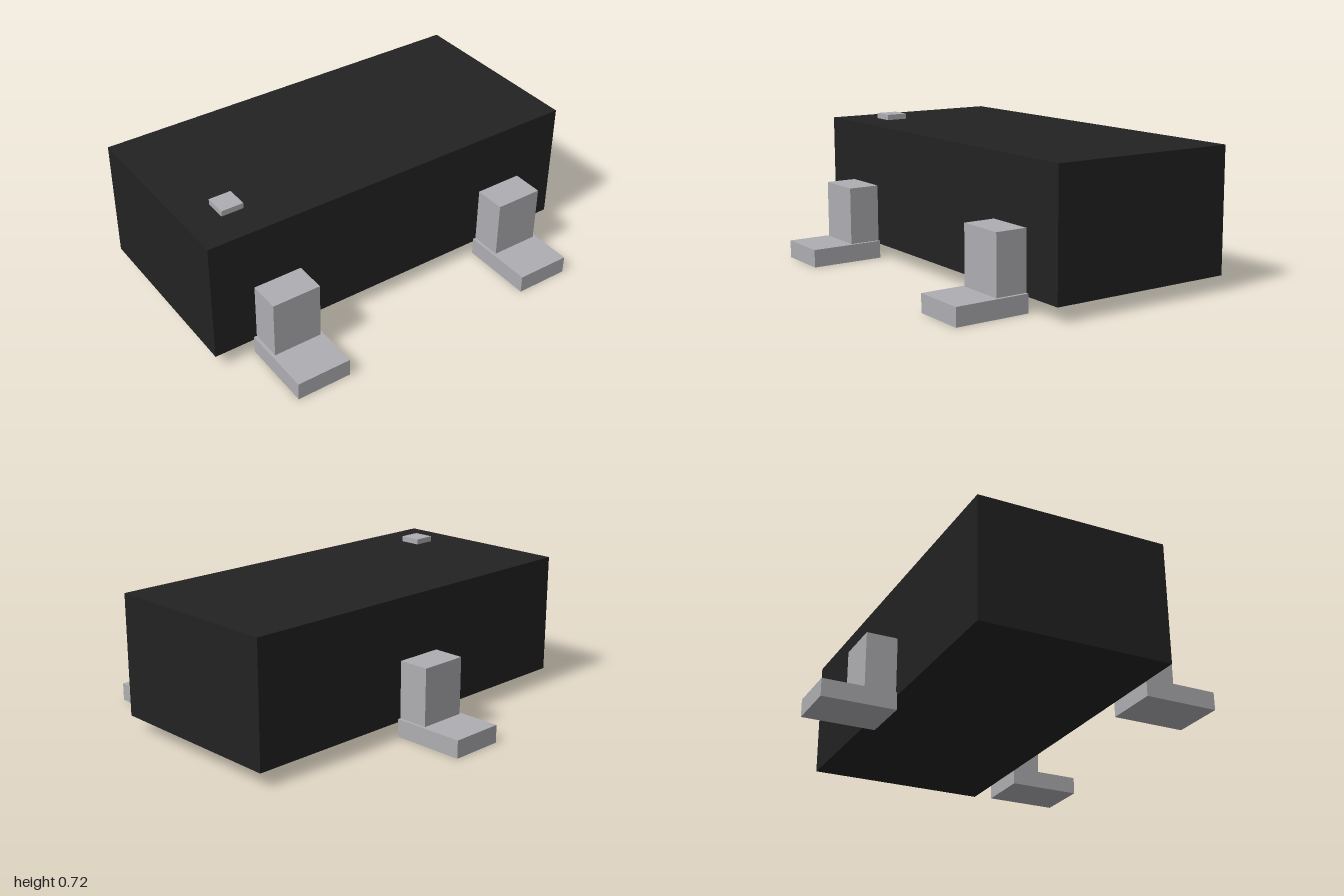
import * as THREE from 'three';

export function createModel() {
  const model = new THREE.Group();
  const black = new THREE.MeshStandardMaterial({ color: 0x222222 });
  black.name = 'black';
  const grey = new THREE.MeshStandardMaterial({ color: 0xaeaeb2 });
  grey.name = 'light grey';

  // Box spanning the given limits on each axis
  function addBox(parent, name, material, [x0, x1], [y0, y1], [z0, z1]) {
    const mesh = new THREE.Mesh(new THREE.BoxGeometry(x1 - x0, y1 - y0, z1 - z0), material);
    mesh.position.set((x0 + x1) / 2, (y0 + y1) / 2, (z0 + z1) / 2);
    mesh.name = name;
    parent.add(mesh);
  }

  // Main case and the small button on its top
  addBox(model, 'body', black, [-1, 1], [0.074, 0.69], [-0.482, 0.482]);
  addBox(model, 'topButton', grey, [-0.829, -0.716], [0.69, 0.718], [0.195, 0.307]);

  // L-shaped foot: flat pad with an upright against the case
  function addFoot(name, x, turn) {
    const foot = new THREE.Group();
    foot.name = name;
    addBox(foot, 'pad', grey, [-0.139, 0.139], [0, 0.09], [0.482, 0.858]);
    addBox(foot, 'upright', grey, [-0.124, 0.124], [0.09, 0.38], [0.482, 0.641]);
    foot.position.x = x;
    foot.rotation.y = turn;
    model.add(foot);
  }
  addFoot('frontRightFoot', -0.656, 0);
  addFoot('frontLeftFoot', 0.652, 0);
  addFoot('backFoot', -0.002, Math.PI);

  return model;
}
